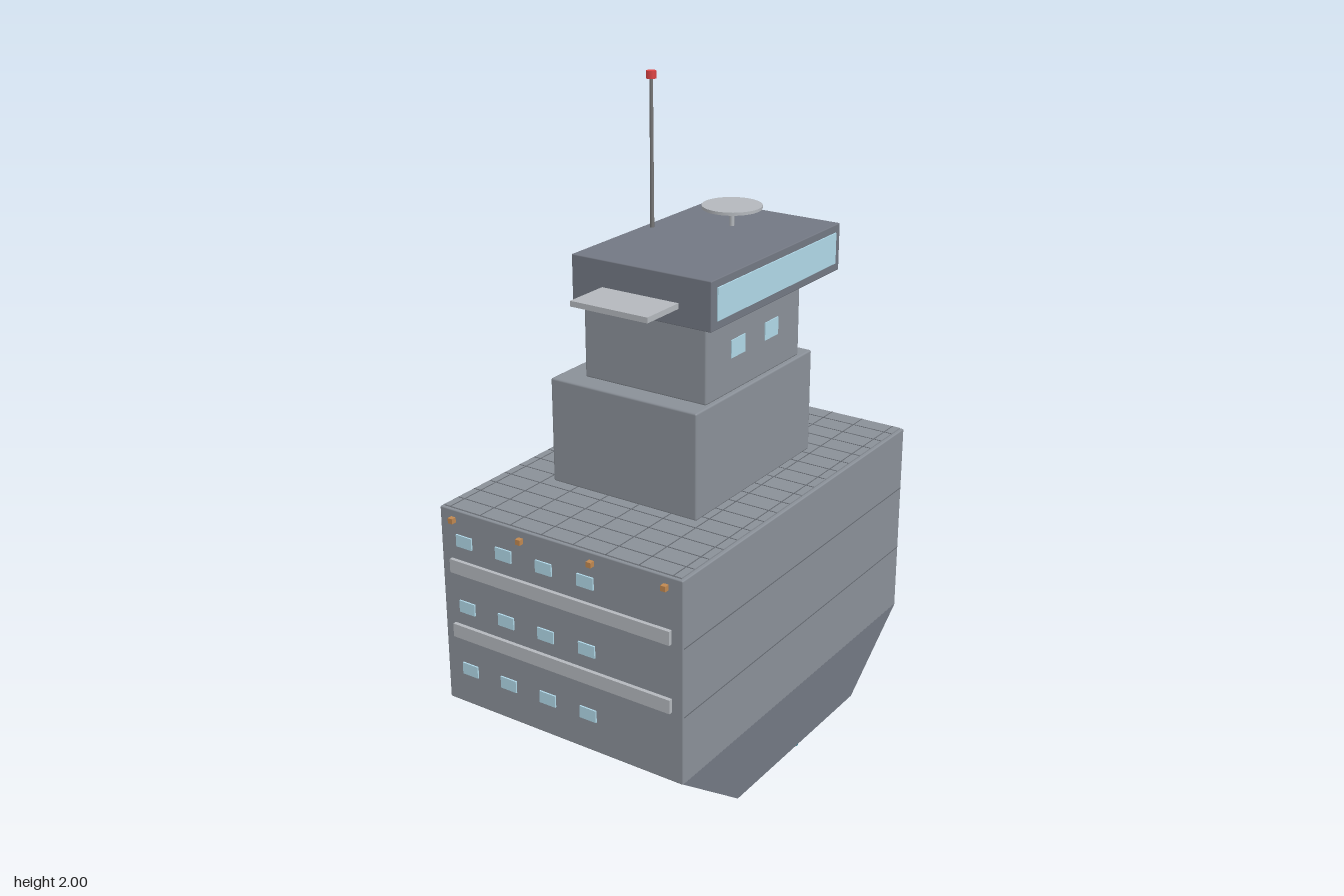
import * as THREE from 'three';
import { RoundedBoxGeometry } from 'three/addons/geometries/RoundedBoxGeometry.js';

const paint = (color) => new THREE.MeshStandardMaterial({ color });

export function createModel() {
  const model = new THREE.Group();
  const plating = paint(0x8a9098);
  const darkPlating = paint(0x737883);
  const trim = paint(0xb4b8bd);
  const glass = paint(0xb0d8e8);
  const seam = paint(0x666b72);
  const pole = paint(0x777777);
  const red = paint(0xe04444);
  const amber = paint(0xc08850);
  const teal = paint(0x3f8f9f);

  const add = (name, geometry, material, x, y, z) => {
    const mesh = new THREE.Mesh(geometry, material);
    mesh.name = name;
    mesh.position.set(x, y, z);
    model.add(mesh);
    return mesh;
  };
  // Box given by its limits on each axis
  const box = (name, material, [x0, x1], [y0, y1], [z0, z1], bevel = 0) => {
    const size = [x1 - x0, y1 - y0, z1 - z0];
    const geometry = bevel
      ? new RoundedBoxGeometry(...size, 1, bevel)
      : new THREE.BoxGeometry(...size);
    return add(name, geometry, material, (x0 + x1) / 2, (y0 + y1) / 2, (z0 + z1) / 2);
  };

  // Lower hull: trapezoid section extruded along x
  const section = new THREE.Shape([
    new THREE.Vector2(-0.34, 0.003), new THREE.Vector2(0.34, 0.003),
    new THREE.Vector2(0.622, 0.21), new THREE.Vector2(-0.622, 0.21),
  ]);
  const lowerHull = new THREE.ExtrudeGeometry(section, { depth: 0.832, bevelEnabled: false });
  lowerHull.translate(0, 0, -0.416).rotateY(Math.PI / 2);
  add('lowerHull', lowerHull, darkPlating, 0, 0, 0);
  box('keelStrip', teal, [-0.416, 0.416], [0, 0.006], [-0.006, 0.006]);

  // Main hull and stacked superstructure
  box('mainHull', plating, [-0.416, 0.416], [0.208, 0.832], [-0.624, 0.624], 0.004);
  box('deck', plating, [-0.406, 0.406], [0.828, 0.836], [-0.615, 0.615]);
  box('lowerTower', plating, [-0.25, 0.25], [0.835, 1.157], [-0.312, 0.312], 0.006);
  box('upperTower', plating, [-0.172, 0.24], [1.157, 1.412], [-0.25, 0.25], 0.006);
  box('bridge', darkPlating, [-0.14, 0.315], [1.41, 1.551], [-0.342, 0.342], 0.003);
  box('bridgeWindow', glass, [0.31, 0.319], [1.436, 1.528], [-0.315, 0.315]);

  // Deck plate seams
  for (let i = 0; i < 8; i++) {
    const x = -0.382 + i * 0.109;
    box('deckSeam', seam, [x - 0.0015, x + 0.0015], [0.834, 0.837], [-0.615, 0.615]);
  }
  for (let i = -8; i <= 8; i++) {
    const z = i * 0.0695;
    box('deckSeam', seam, [-0.406, 0.406], [0.834, 0.837], [z - 0.0015, z + 0.0015]);
  }

  // Seams along the long walls
  for (const side of [-1, 1]) {
    for (const y of [0.42, 0.63]) {
      add('wallSeam', new THREE.BoxGeometry(0.002, 0.003, 1.24), seam, side * 0.416, y, 0);
    }
  }

  // Fittings mirrored on the front and back
  for (const side of [-1, 1]) {
    for (const y of [0.325, 0.53, 0.74]) {
      for (const x of [-0.33, -0.187, -0.045, 0.098]) {
        add('hullWindow', new THREE.BoxGeometry(0.056, 0.037, 0.008), glass, x, y, side * 0.625);
      }
    }
    for (const y of [0.448, 0.657]) {
      add('ledge', new THREE.BoxGeometry(0.76, 0.042, 0.016), trim, 0, y, side * 0.628);
    }
    for (const x of [-0.367, -0.123, 0.12, 0.363]) {
      add('deckLight', new THREE.BoxGeometry(0.016, 0.016, 0.02), amber, x, 0.802, side * 0.63);
    }
    add('bridgeWing', new THREE.BoxGeometry(0.25, 0.016, 0.16), trim, 0.087, 1.466, side * 0.405);
    add('towerWindow', new THREE.BoxGeometry(0.01, 0.053, 0.072), glass, 0.238, 1.286, side * 0.089);
  }

  // Radar disc on its stem
  add('radarStem', new THREE.CylinderGeometry(0.007, 0.007, 0.06, 8), trim, 0.07, 1.575, -0.143);
  add('radarDisc', new THREE.CylinderGeometry(0.088, 0.088, 0.009, 32), trim, 0.07, 1.608, -0.143);

  // Mast with warning lamp
  add('mast', new THREE.CylinderGeometry(0.005, 0.006, 0.44, 8), pole, -0.11, 1.765, 0);
  add('mastLamp', new THREE.CylinderGeometry(0.015, 0.015, 0.022, 6), red, -0.11, 1.989, 0);

  return model;
}
